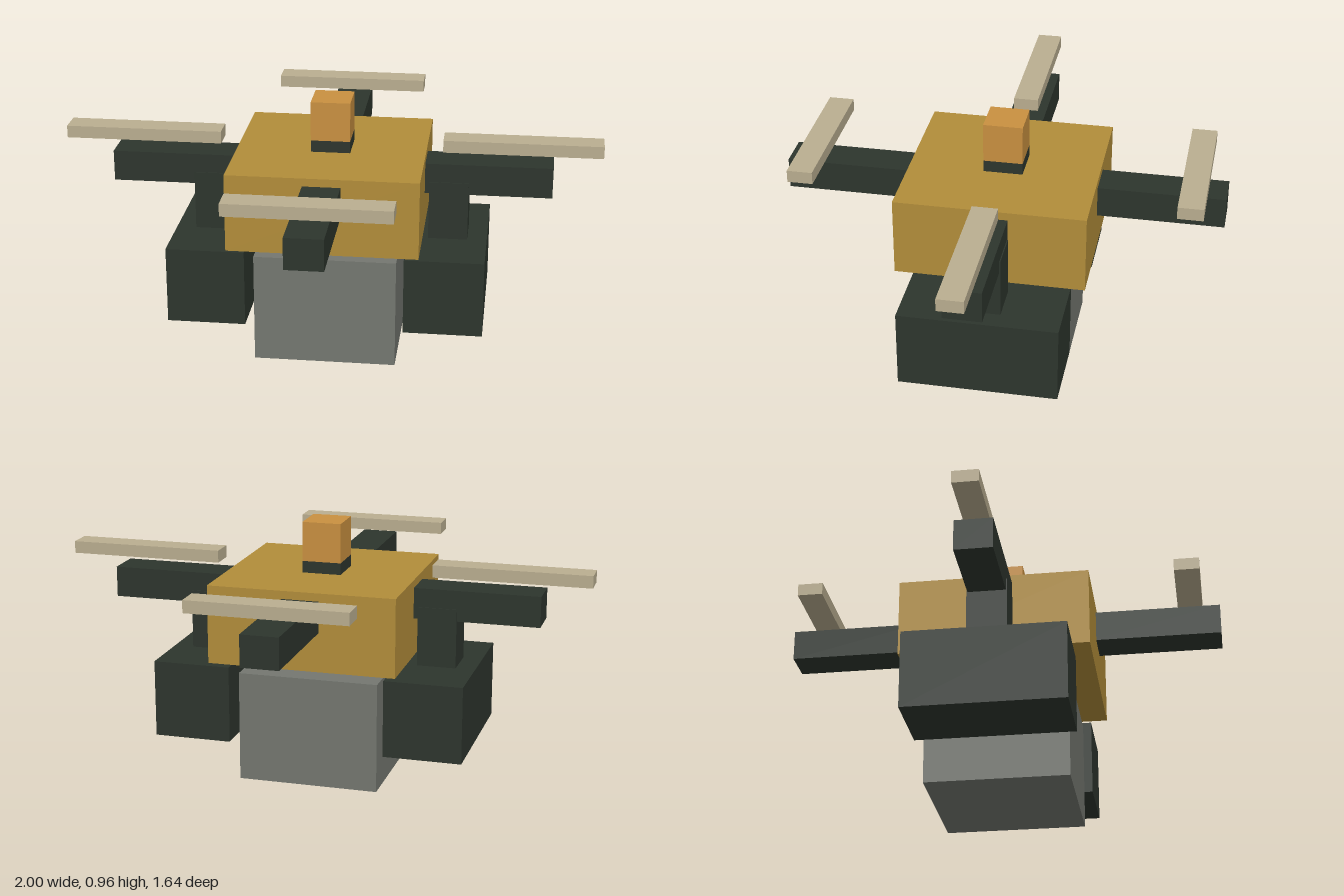
import * as THREE from 'three';

const material = (name, color) => {
  const m = new THREE.MeshStandardMaterial({ color });
  m.name = name;
  return m;
};

export function createModel() {
  const gold = material('ochre', 0xb28d3a);
  const dark = material('darkGreen', 0x2d352d);
  const grey = material('grey', 0x747770);
  const tan = material('tan', 0xbaae90);
  const orange = material('orange', 0xc99040);

  const model = new THREE.Group();
  model.name = 'quadcopter';

  // Box given its width, depth, bottom and top heights and its centre in x and z
  const box = (name, mat, w, d, y0, y1, x = 0, z = 0) => {
    const mesh = new THREE.Mesh(new THREE.BoxGeometry(w, y1 - y0, d), mat);
    mesh.name = name;
    mesh.position.set(x, (y0 + y1) / 2, z);
    model.add(mesh);
  };

  // Hull with the cargo hanging below it
  box('body', gold, 0.702, 0.702, 0.473, 0.766);
  box('cargoBox', grey, 0.528, 0.528, 0, 0.415);

  // Beacon on its collar
  box('beaconCollar', dark, 0.146, 0.146, 0.766, 0.81);
  box('beacon', orange, 0.146, 0.146, 0.81, 0.958);

  for (const [side, s] of [['left', 1], ['right', -1]]) {
    // Side arm, strut, pod and rotor
    box(side + 'Arm', dark, 0.48, 0.138, 0.62, 0.736, s * 0.58);
    box(side + 'Strut', dark, 0.146, 0.146, 0.44, 0.665, s * 0.44);
    box(side + 'Pod', dark, 0.292, 0.586, 0.152, 0.442, s * 0.44);
    box(side + 'Rotor', tan, 0.586, 0.094, 0.774, 0.82, s * 0.707);
  }

  for (const [end, s] of [['front', 1], ['back', -1]]) {
    // Fore and aft arm and rotor
    box(end + 'Arm', dark, 0.138, 0.48, 0.62, 0.736, 0, s * 0.58);
    box(end + 'Rotor', tan, 0.586, 0.094, 0.774, 0.82, 0, s * 0.707);
  }

  return model;
}
